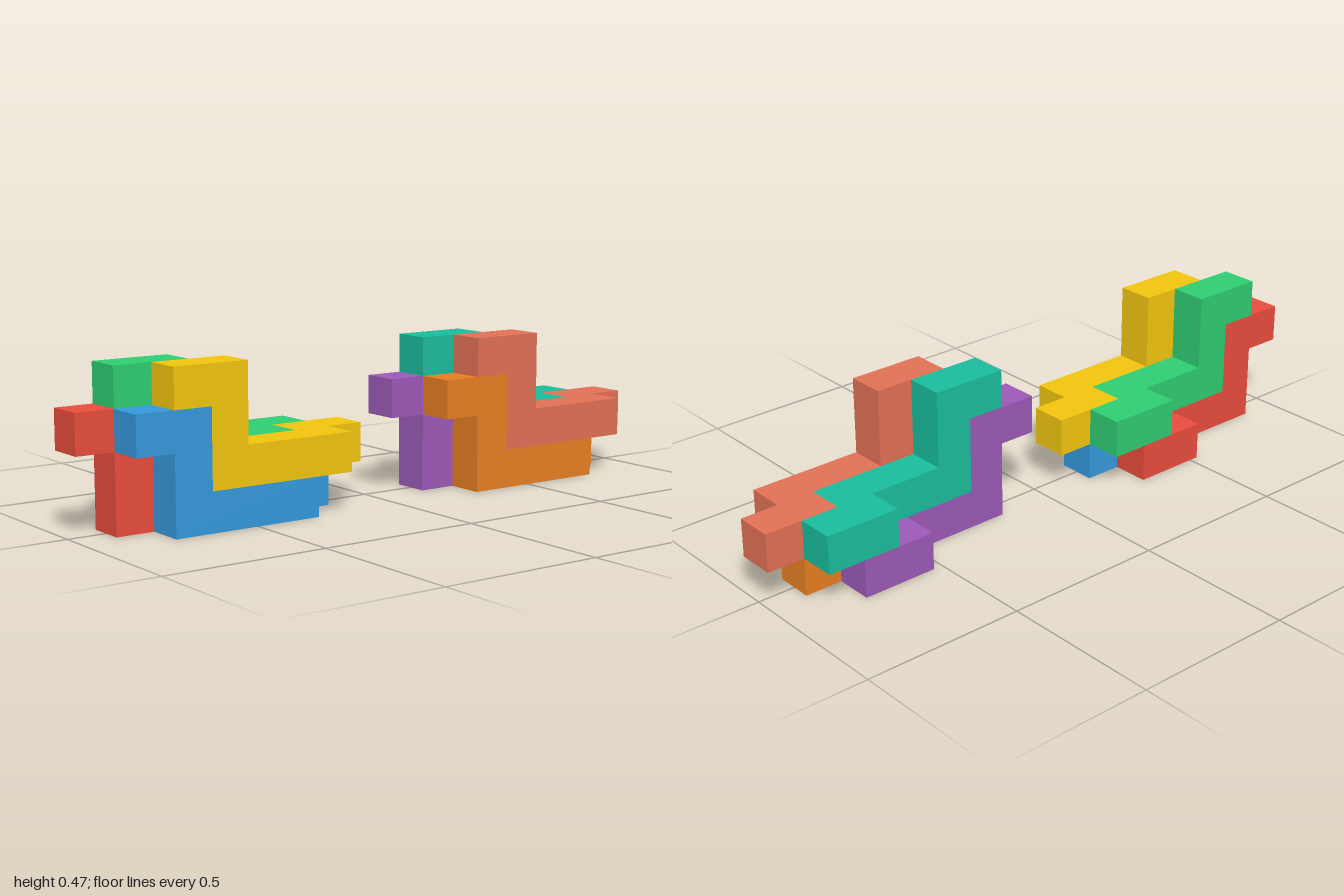
import * as THREE from 'three';

const U = 2 / 17; // one cube cell

// Stepped bar, one cell thick, drawn in cell units
const PROFILE = [[0, 2], [1, 2], [1, 0], [5, 0], [5, 1], [2, 1], [2, 3], [0, 3]];

// Interlocking pieces: cell offset (x, y, layer) of each
const SLOTS = [
  { name: 'frontUpper', at: [2, 1, 2] },
  { name: 'frontLower', at: [1, 0, 2] },
  { name: 'backUpper', at: [1, 1, 1] },
  { name: 'backLower', at: [0, 0, 1] },
];

function createPiece(name, color) {
  const piece = new THREE.Group();
  piece.name = name;
  const material = new THREE.MeshStandardMaterial({ color, flatShading: true });

  // Stepped bar
  const shape = new THREE.Shape(PROFILE.map(([x, y]) => new THREE.Vector2(x * U, y * U)));
  const bar = new THREE.Mesh(
    new THREE.ExtrudeGeometry(shape, { depth: U, bevelEnabled: false }), material);
  bar.name = name + 'Bar';

  // Two-cell toe, one layer behind the end of the bar
  const toe = new THREE.Mesh(new THREE.BoxGeometry(2 * U, U, U), material);
  toe.name = name + 'Toe';
  toe.position.set(5 * U, U / 2, -U / 2);

  piece.add(bar, toe);
  return piece;
}

// Four identical pieces nested together
function createCluster(name, colors) {
  const cluster = new THREE.Group();
  cluster.name = name;
  SLOTS.forEach(({ name: slot, at: [x, y, layer] }, i) => {
    const piece = createPiece(slot + 'Piece', colors[i]);
    piece.position.set(x * U, y * U, (layer - 1.5) * U);
    cluster.add(piece);
  });
  return cluster;
}

export function createModel() {
  const model = new THREE.Group();
  model.name = 'interlockingBlocks';

  const right = createCluster('rightCluster', [0xf1c40f, 0x3498db, 0x2ecc71, 0xe74c3c]);
  right.position.x = -1;

  const left = createCluster('leftCluster', [0xe17055, 0xe67e22, 0x1abc9c, 0x9b59b6]);
  left.position.x = -1 + 9 * U;

  model.add(right, left);
  return model;
}
